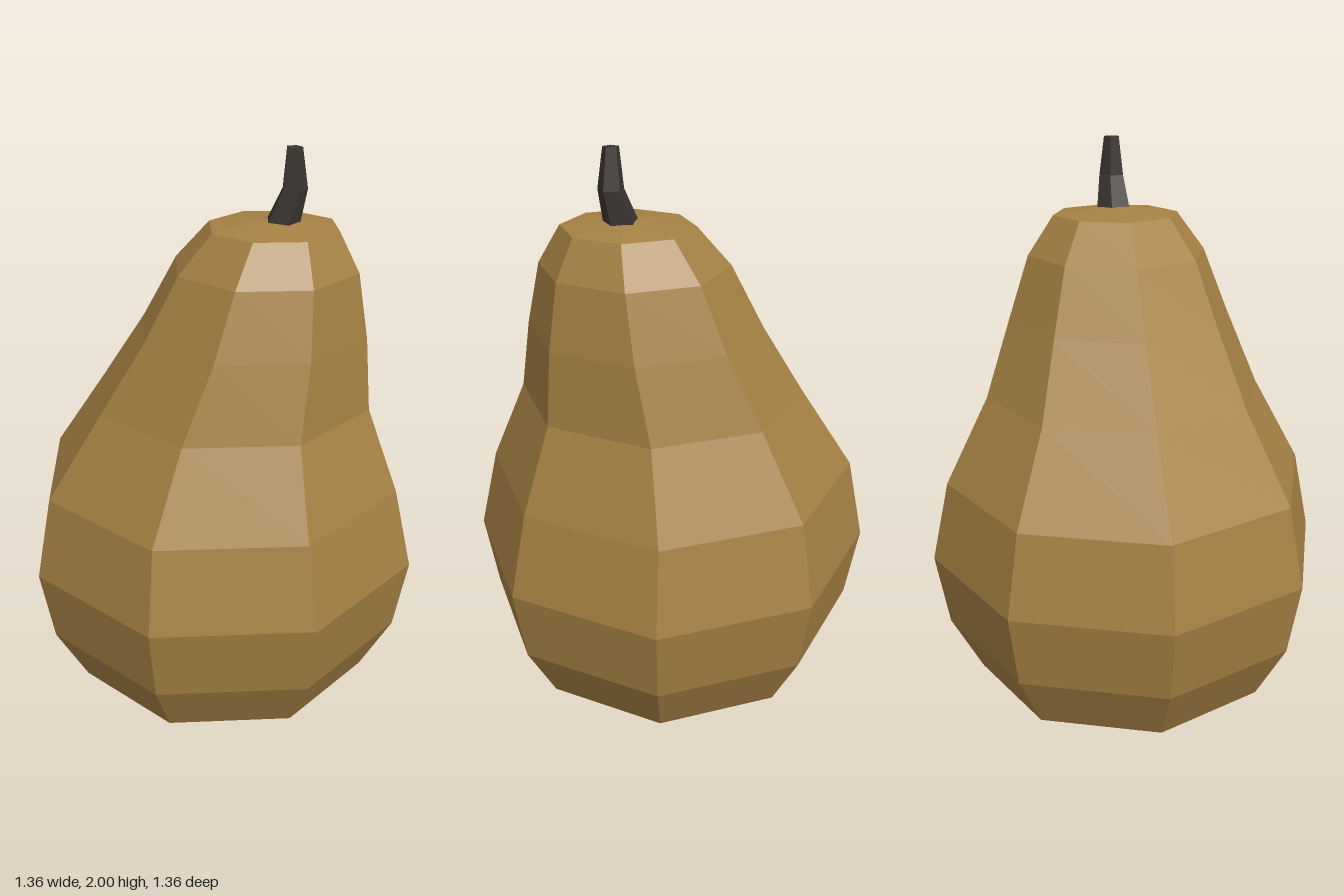
import * as THREE from 'three';

// Closed faceted skin through rings of [y, centreX, radius]; zero radius makes a tip
function loft(rings, sides, turn = 0) {
  const pos = [];
  const point = ([y, cx, r], i) => {
    const a = turn + ((i % sides) / sides) * Math.PI * 2;
    return [cx + r * Math.cos(a), y, r * Math.sin(a)];
  };
  for (let j = 0; j < rings.length - 1; j++) {
    const lo = rings[j], hi = rings[j + 1];
    for (let i = 0; i < sides; i++) {
      const a = point(lo, i), b = point(lo, i + 1), c = point(hi, i + 1), d = point(hi, i);
      if (hi[2] > 0) pos.push(...a, ...d, ...c);
      if (lo[2] > 0) pos.push(...a, ...c, ...b);
    }
  }
  const geo = new THREE.BufferGeometry();
  geo.setAttribute('position', new THREE.Float32BufferAttribute(pos, 3));
  geo.computeVertexNormals();
  return geo;
}

export function createModel() {
  const skin = new THREE.MeshStandardMaterial({ color: 0xa68144, flatShading: true });
  skin.name = 'pearSkin';
  const wood = new THREE.MeshStandardMaterial({ color: 0x3a3632, flatShading: true });
  wood.name = 'darkStem';

  const group = new THREE.Group();
  group.name = 'pear';
  const add = (name, geo, mat) => {
    const mesh = new THREE.Mesh(geo, mat);
    mesh.name = name;
    group.add(mesh);
  };

  // Eight-sided fruit with the neck leaning to one side
  add('fruit', loft([
    [0.006, 0, 0],
    [0.05, 0, 0.275],
    [0.175, 0, 0.53],
    [0.375, 0, 0.637],
    [0.625, 0, 0.68],
    [0.9, -0.005, 0.62],
    [1.18, 0.037, 0.47],
    [1.42, 0.107, 0.38],
    [1.63, 0.148, 0.303],
    [1.755, 0.172, 0.212],
    [1.78, 0.18, 0],
  ], 8), skin);

  // Bent five-sided stem
  add('stem', loft([
    [1.76, 0.197, 0],
    [1.765, 0.197, 0.058],
    [1.875, 0.235, 0.042],
    [2.0, 0.232, 0.026],
    [2.0, 0.232, 0],
  ], 5, -Math.PI / 2), wood);

  // Shallow dark blossom end underneath
  add('blossomEnd', loft([
    [0, 0, 0],
    [0.012, 0, 0.077],
    [0.03, 0, 0],
  ], 8), wood);

  return group;
}
